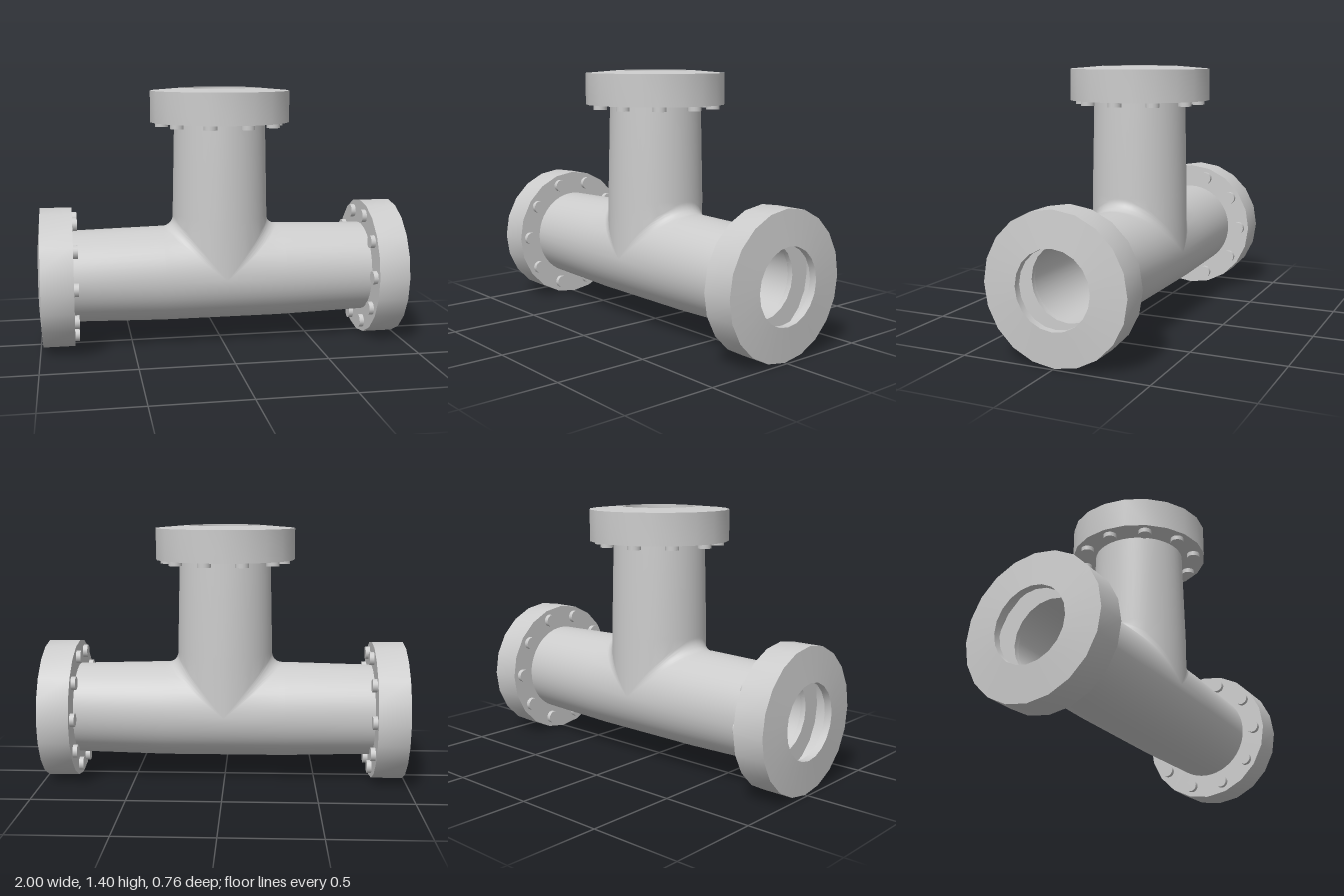
import * as THREE from 'three';
import { toCreasedNormals } from 'three/addons/utils/BufferGeometryUtils.js';

const AXIS = 0.382;        // height of the main pipe's centre line
const FLANGE_R = 0.382, FLANGE_H = 0.185, HOLE_R = 0.2;
const MAIN_L = 1 - FLANGE_H, BRANCH_L = 1.22 - AXIS;
const TAPER_FROM = 0.33;   // pipes keep a constant radius up to here
const STEPS = 24, ARC = 6;

// Adds a grid of triangles; fn(i, j) gives a point
function addGrid(out, nu, nv, flip, fn) {
  const tri = (a, b, c) => {
    if (a.distanceTo(b) < 1e-6 || b.distanceTo(c) < 1e-6 || a.distanceTo(c) < 1e-6) return;
    for (const p of flip ? [a, c, b] : [a, b, c]) out.push(p.x, p.y, p.z);
  };
  for (let i = 0; i < nu; i++) for (let j = 0; j < nv; j++) {
    const a = fn(i, j), b = fn(i, j + 1), c = fn(i + 1, j), d = fn(i + 1, j + 1);
    tri(a, b, c);
    tri(c, b, d);
  }
}

// T-shaped pipe surface: equal cylinders meeting on 45 degree planes, with a fillet
function teeSurface(r, endR, fillet, extra, inward) {
  const out = [];
  const tube = (theta, x, L) => {
    const t = Math.max(0, (Math.abs(x) - TAPER_FROM) / (L - TAPER_FROM));
    const rad = r + (endR - r) * t;
    return new THREE.Vector3(x, rad * Math.sin(theta), rad * Math.cos(theta));
  };
  // upper half of one arm, starting on the mitre plane x = y
  const arm = (i, j, L) => {
    const theta = Math.PI * i / STEPS;
    const s = Math.max(0, Math.sin(theta)), y0 = r * s, w = fillet * s;
    if (j < ARC) {
      const a = Math.PI / 4 * (1 - j / ARC), c = y0 + w;
      return new THREE.Vector3(c - w * Math.sin(a), c - w * Math.cos(a), r * Math.cos(theta));
    }
    return tube(theta, [y0 + w, TAPER_FROM, L][j - ARC], L);
  };
  for (const side of [1, -1]) {
    addGrid(out, STEPS, ARC + 2, (side < 0) !== inward, (i, j) => {
      const p = arm(i, j, MAIN_L + extra);
      return p.setX(p.x * side);
    });
    // branch half: the same patch with x and y swapped
    addGrid(out, STEPS, ARC + 2, (side > 0) !== inward, (i, j) => {
      const p = arm(i, j, BRANCH_L + extra);
      return p.set(p.y * side, p.x, p.z);
    });
  }
  // underside of the main pipe
  const L = MAIN_L + extra, xs = [-L, -TAPER_FROM, 0, TAPER_FROM, L];
  addGrid(out, STEPS, 4, inward, (i, j) => tube(Math.PI * (1 + i / STEPS), xs[j], L));

  const g = new THREE.BufferGeometry();
  g.setAttribute('position', new THREE.Float32BufferAttribute(out, 3));
  return toCreasedNormals(g, 0.6);
}

// Flange ring along local y, back face at y = 0, with ten bolt heads on the back
function makeFlange(name, material, boltStart) {
  const flange = new THREE.Group();
  flange.name = name;
  const profile = [
    [HOLE_R, 0], [FLANGE_R, 0], [FLANGE_R, 0.17], [HOLE_R, FLANGE_H],
    [HOLE_R, 0.145], [0.31, 0.145], [0.31, 0.03], [HOLE_R, 0.03], [HOLE_R, 0],
  ].map(([x, y]) => new THREE.Vector2(x, y));
  const ring = new THREE.Mesh(toCreasedNormals(new THREE.LatheGeometry(profile, 20), 0.5), material);
  ring.name = 'flangeRing';
  flange.add(ring);

  const boltGeometry = new THREE.CylinderGeometry(0.036, 0.036, 0.04, 16);
  for (let i = 0; i < 10; i++) {
    const a = boltStart + i * Math.PI / 5;
    const bolt = new THREE.Mesh(boltGeometry, material);
    bolt.name = 'boltHead';
    bolt.position.set(0.32 * Math.cos(a), -0.005, 0.32 * Math.sin(a));
    flange.add(bolt);
  }
  return flange;
}

export function createModel() {
  const model = new THREE.Group();
  model.name = 'pipeTee';
  const material = new THREE.MeshStandardMaterial({ color: 0xcccccc });

  // Pipe body, outside and bore
  const outer = new THREE.Mesh(teeSurface(0.262, 0.25, 0.06, 0, false), material);
  outer.name = 'pipeOuter';
  const bore = new THREE.Mesh(teeSurface(HOLE_R, HOLE_R, 0, 0.03, true), material);
  bore.name = 'pipeBore';
  outer.position.y = bore.position.y = AXIS;
  model.add(outer, bore);

  // Flanges on the three ends
  const top = makeFlange('topFlange', material, 0);
  top.position.y = AXIS + BRANCH_L;
  model.add(top);
  for (const side of [1, -1]) {
    const end = makeFlange(side > 0 ? 'leftFlange' : 'rightFlange', material, Math.PI / 2);
    end.position.set(side * MAIN_L, AXIS, 0);
    end.rotation.z = -side * Math.PI / 2;
    model.add(end);
  }
  return model;
}
